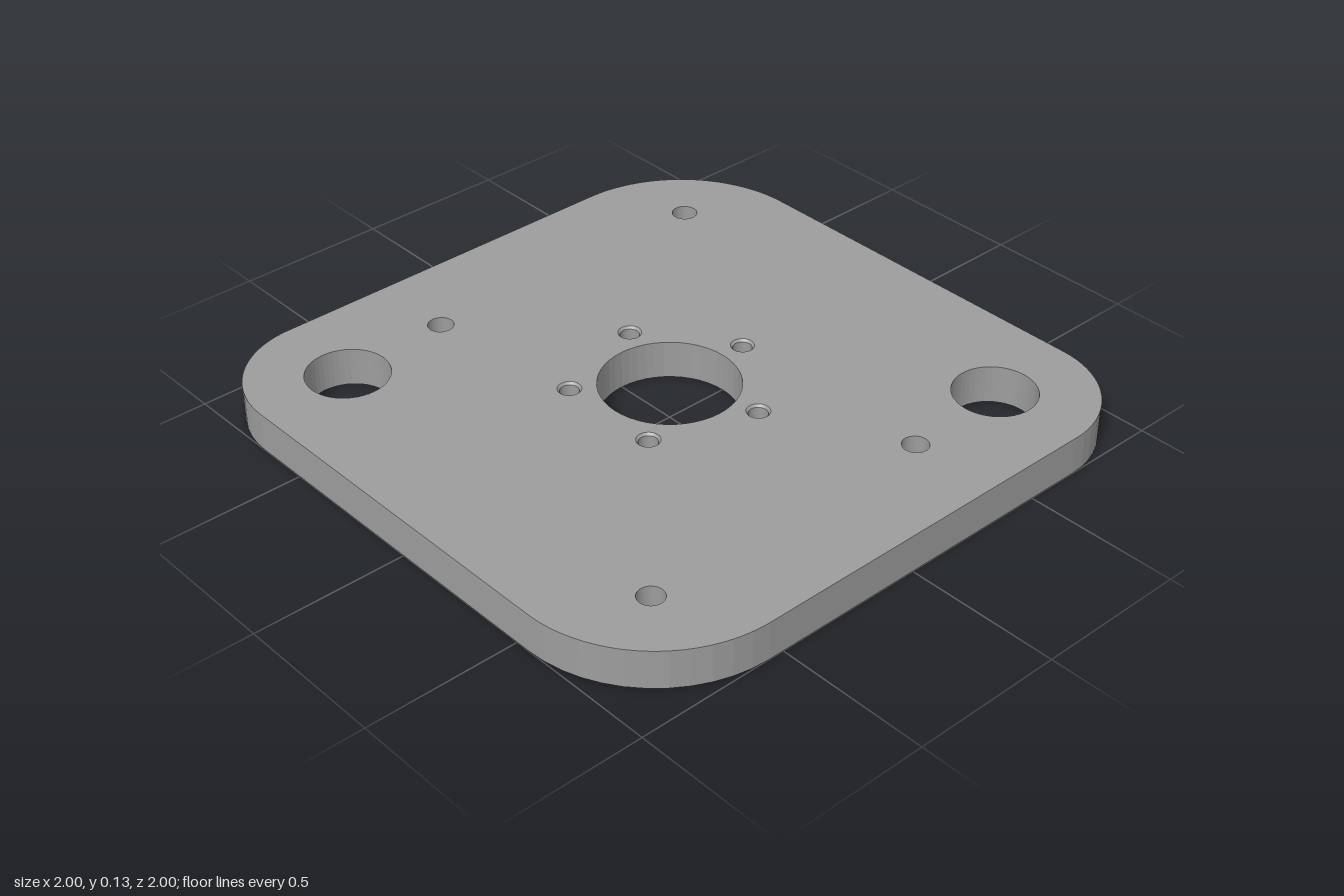
import * as THREE from 'three';

const T = 0.127;     // plate thickness
const DIV = 24;      // curve divisions (48 sides per full circle)

// Each hole: centre plus a profile of [radius, y] from top to bottom
function holeList() {
  const holes = [];
  const add = (name, x, z, profile) => holes.push({ name, x, z, profile });
  const straight = r => [[r, T], [r, 0]];

  add('centreBore', 0, 0, straight(0.218));
  add('largeHole', 0.684, -0.684, straight(0.131));
  add('largeHole', -0.684, 0.684, straight(0.131));

  // screw holes, countersunk from below
  const screw = [[0.041, T], [0.041, 0.04], [0.08, 0]];
  for (const [x, z] of [[-0.71, -0.71], [-0.71, 0.312], [0.71, -0.312], [0.71, 0.71]])
    add('screwHole', x, z, screw);

  // ring of five small holes, chamfered on top
  const pin = [[0.037, T], [0.03, T - 0.008], [0.03, 0]];
  for (let i = 0; i < 5; i++) {
    const a = i * Math.PI * 2 / 5;
    add('ringHole', 0.3 * Math.sin(a), -0.3 * Math.cos(a), pin);
  }
  return holes;
}

// Plate outline; s maps z to the shape's y, so s = -1 is seen from above
function outline(s) {
  const shape = new THREE.Shape();
  [[1, -1], [1, 1], [-1, 1], [-1, -1]].forEach(([x, y], i) => {
    const r = x * y * s > 0 ? 0.45 : 0.32;
    const a = (i - 1) * Math.PI / 2;
    shape.absarc(x * (1 - r), y * (1 - r), r, a, a + Math.PI / 2, false);
  });
  shape.closePath();
  return shape;
}

// Flat face with the hole mouths cut out
function faceGeometry(s, holes) {
  const shape = outline(s);
  for (const h of holes) {
    const [r] = s < 0 ? h.profile[0] : h.profile[h.profile.length - 1];
    const path = new THREE.Path();
    path.absarc(h.x, s * h.z, r, 0, Math.PI * 2, true);
    shape.holes.push(path);
  }
  const g = new THREE.ShapeGeometry(shape, DIV);
  g.rotateX(s * Math.PI / 2);
  return g.translate(0, s < 0 ? T : 0, 0);
}

// Vertical wall around the outline
function rimGeometry() {
  const pts = outline(-1).getPoints(6);
  const pos = [], index = [];
  pts.forEach((p, i) => {
    pos.push(p.x, 0, -p.y, p.x, T, -p.y);
    const a = i * 2, b = ((i + 1) % pts.length) * 2;
    index.push(a, b, b + 1, a, b + 1, a + 1);
  });
  const g = new THREE.BufferGeometry();
  g.setAttribute('position', new THREE.Float32BufferAttribute(pos, 3));
  g.setIndex(index);
  g.computeVertexNormals();
  return g;
}

export function createModel() {
  const group = new THREE.Group();
  group.name = 'mountingPlate';
  // dark grey metal colour
  const material = new THREE.MeshStandardMaterial({ color: 0x9d9d9d, flatShading: true });
  const holes = holeList();
  const add = (name, geometry) => {
    const mesh = new THREE.Mesh(geometry, material);
    mesh.name = name;
    group.add(mesh);
    return mesh;
  };

  add('topFace', faceGeometry(-1, holes));
  add('bottomFace', faceGeometry(1, holes));
  add('rim', rimGeometry());

  // hole walls: descending profiles face inwards
  for (const h of holes) {
    const profile = h.profile.map(([r, y]) => new THREE.Vector2(r, y));
    add(h.name, new THREE.LatheGeometry(profile, DIV * 2)).position.set(h.x, 0, h.z);
  }
  return group;
}
